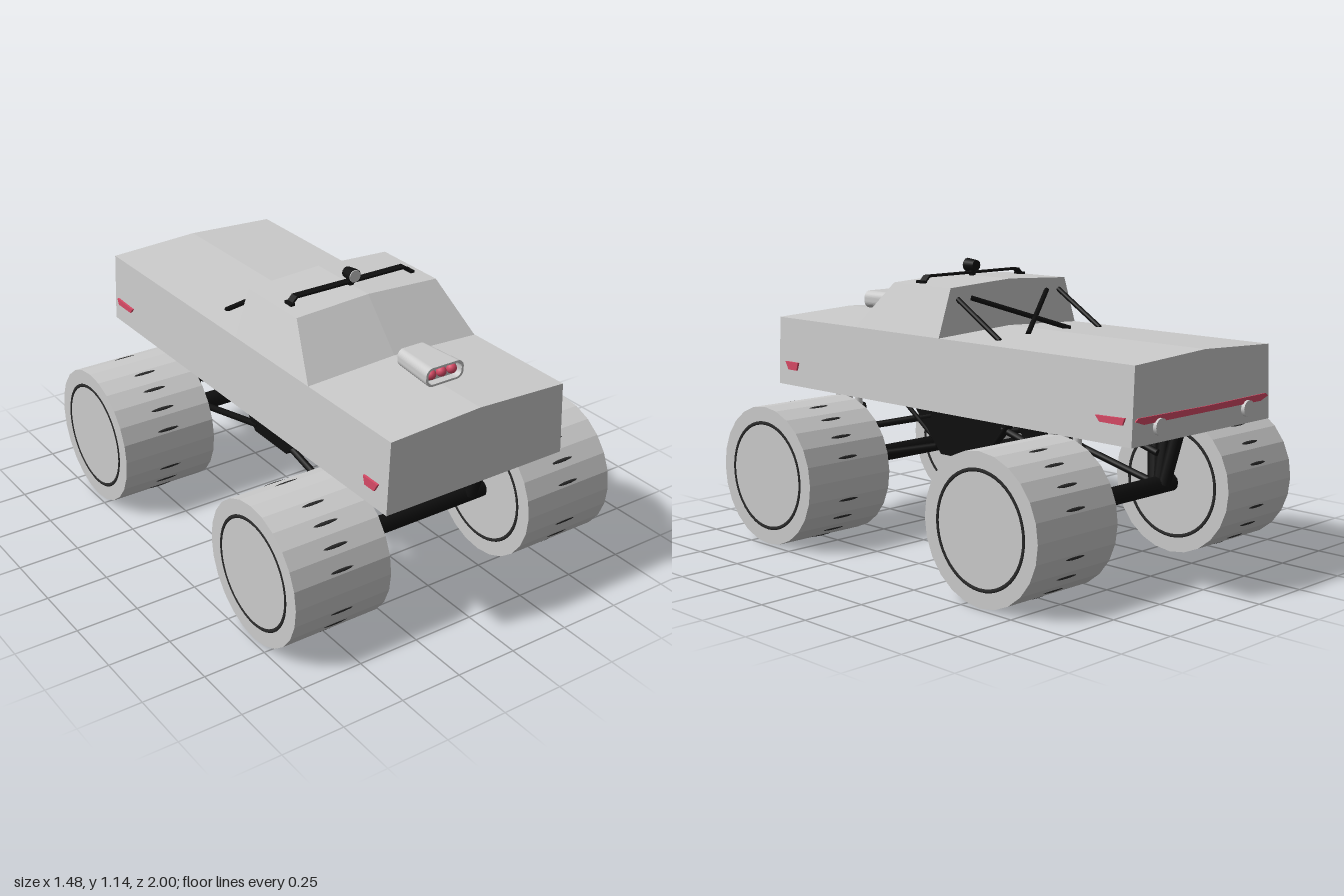
import * as THREE from 'three';

const mat = (name, color) => Object.assign(new THREE.MeshStandardMaterial({ color }), { name });
const V = (x, y, z) => new THREE.Vector3(x, y, z);

export function createModel() {
  const paint = mat('light grey', 0xcccccc);
  const black = mat('black', 0x0e0e0e);
  const dark = mat('dark grey', 0x2c2c2c);
  const red = mat('red', 0xd84a66);
  const model = new THREE.Group();

  const add = (name, geo, m, parent = model) => {
    const mesh = new THREE.Mesh(geo, m);
    mesh.name = name;
    parent.add(mesh);
    return mesh;
  };
  const flat = (geo) => {
    const g = geo.index ? geo.toNonIndexed() : geo;
    g.computeVertexNormals();
    return g;
  };
  // Round bar between two points
  const bar = (name, a, b, r, m = black, r2 = r) => {
    const d = b.clone().sub(a);
    const mesh = add(name, new THREE.CylinderGeometry(r2, r, d.length(), 12), m);
    mesh.position.copy(a).addScaledVector(d, 0.5);
    mesh.quaternion.setFromUnitVectors(V(0, 1, 0), d.normalize());
    return mesh;
  };
  const polygon = (pts) => new THREE.Shape(pts.map((p) => new THREE.Vector2(...p)));

  // Body shell lofted front to back: [z, shoulder x, shoulder y, crown y]
  const stations = [
    [1.0, 0.385, 0.871, 0.889], [0.5, 0.385, 0.871, 0.889],
    [0.33, 0.322, 1.06, 1.076], [0, 0.322, 1.06, 1.076],
    [0, 0.385, 0.871, 0.889], [-0.985, 0.385, 0.871, 0.889],
  ];
  const rings = stations.map(([z, x, y, crown]) => [
    [-0.4, 0.585, z], [-0.387, 0.871, z], [-x, y, z], [0, crown, z],
    [x, y, z], [0.387, 0.871, z], [0.4, 0.585, z],
  ]);
  const tris = [];
  for (let i = 0; i < rings.length - 1; i++) {
    for (let j = 0; j < 7; j++) {
      const k = (j + 1) % 7;
      const [a, b, c, d] = [rings[i][j], rings[i][k], rings[i + 1][k], rings[i + 1][j]];
      tris.push(...a, ...b, ...c, ...a, ...c, ...d);
    }
  }
  const first = rings[0], last = rings[rings.length - 1];
  for (let j = 1; j < 6; j++) {
    tris.push(...first[0], ...first[j + 1], ...first[j], ...last[0], ...last[j], ...last[j + 1]);
  }
  const shell = new THREE.BufferGeometry();
  shell.setAttribute('position', new THREE.Float32BufferAttribute(tris, 3));
  add('body', flat(shell), paint);

  // Wheels with tread slots and a ring on each face
  const tireGeo = flat(new THREE.CylinderGeometry(0.283, 0.283, 0.41, 24).rotateZ(Math.PI / 2));
  const ringGeo = new THREE.TorusGeometry(0.216, 0.007, 4, 48).rotateY(Math.PI / 2).scale(0.5, 1, 1);
  const slotGeo = new THREE.SphereGeometry(1, 10, 6).scale(0.052, 0.004, 0.007);
  const axles = [0.655, -0.58];
  for (const z of axles) {
    for (const s of [-1, 1]) {
      const wheel = new THREE.Group();
      wheel.name = 'wheel';
      wheel.position.set(s * 0.53, 0.283, z);
      model.add(wheel);
      add('tire', tireGeo, paint, wheel);
      for (const f of [-1, 1]) add('wheelRing', ringGeo, dark, wheel).position.x = f * 0.205;
      for (let i = 0; i < 20; i++) {
        if (i % 5 === 0) continue;
        const a = (i * Math.PI) / 10;
        const slot = add('treadSlot', slotGeo, dark, wheel);
        slot.position.set(0, Math.cos(a) * 0.2805, Math.sin(a) * 0.2805);
        slot.rotation.x = a;
      }
    }
    bar('axle', V(-0.335, 0.285, z), V(0.335, 0.285, z), 0.036);
  }

  // Suspension: shock fans, chrome rods, link arms and body struts
  for (const s of [-1, 1]) {
    for (const z of axles) {
      const dir = Math.sign(z);
      for (const k of [-1, 0, 1]) {
        bar('shock', V(s * 0.25, 0.29, z + k * 0.025), V(s * 0.295, 0.53, z + k * 0.063), 0.026, black, 0.028);
        bar('shockRod', V(s * 0.298, 0.5, z + k * 0.063), V(s * 0.298, 0.595, z + k * 0.063), 0.016, paint);
      }
      bar('upperLink', V(s * 0.238, 0.415, z), V(s * 0.238, 0.525, dir * 0.2), 0.014);
      bar('lowerLink', V(s * 0.238, 0.29, z), V(s * 0.238, 0.405, dir > 0 ? 0.17 : -0.08), 0.014);
      bar('bodyStrut', V(s * 0.275, 0.59, dir > 0 ? 0.355 : -0.295), V(s * 0.24, 0.44, dir > 0 ? 0.2 : -0.14), 0.009);
    }
    // Centre frame side plate, drawn in z-y and turned to face sideways
    const plate = new THREE.ExtrudeGeometry(
      polygon([[-0.14, 0.377], [0.09, 0.377], [0.25, 0.545], [-0.29, 0.545]]),
      { depth: 0.026, bevelEnabled: false });
    plate.translate(0, 0, -0.013).rotateY(Math.PI / 2);
    add('framePlate', plate, black).position.x = s * 0.237;
  }
  add('frameFloor', new THREE.BoxGeometry(0.47, 0.01, 0.23), black).position.set(0, 0.381, 0.025);

  // Hood scoop: tapered rounded duct with three red intakes
  const roundRect = (T, w, h, r) => {
    const p = new T();
    p.moveTo(-w + r, -h);
    p.lineTo(w - r, -h).absarc(w - r, -h + r, r, -Math.PI / 2, 0);
    p.lineTo(w, h - r).absarc(w - r, h - r, r, 0, Math.PI / 2);
    p.lineTo(-w + r, h).absarc(-w + r, h - r, r, Math.PI / 2, Math.PI);
    p.lineTo(-w, -h + r).absarc(-w + r, -h + r, r, Math.PI, Math.PI * 1.5);
    return p;
  };
  const duct = roundRect(THREE.Shape, 0.085, 0.037, 0.03);
  duct.holes.push(roundRect(THREE.Path, 0.076, 0.029, 0.024));
  const taper = (geo) => {
    const p = geo.attributes.position;
    for (let i = 0; i < p.count; i++) {
      const t = 1 - p.getZ(i) / 0.195;
      p.setX(i, p.getX(i) * (1 - 0.22 * t));
      p.setY(i, p.getY(i) * (1 - 0.08 * t));
    }
    geo.computeVertexNormals();
    return geo;
  };
  const scoop = new THREE.Group();
  scoop.name = 'hoodScoop';
  scoop.position.set(0, 0.938, 0.605);
  model.add(scoop);
  add('scoopDuct', taper(new THREE.ExtrudeGeometry(duct, { depth: 0.195, bevelEnabled: false, curveSegments: 8 })), paint, scoop);
  const core = new THREE.ExtrudeGeometry(roundRect(THREE.Shape, 0.078, 0.031, 0.025), { depth: 0.165, bevelEnabled: false });
  add('scoopCore', taper(core), paint, scoop);
  for (const x of [-0.047, 0, 0.047]) {
    add('scoopIntake', new THREE.SphereGeometry(0.02, 16, 10), red, scoop).position.set(x, 0, 0.172);
  }
  add('scoopStem', new THREE.BoxGeometry(0.05, 0.04, 0.14), paint).position.set(0, 0.89, 0.7);

  // Roof band and spotlight
  const band = new THREE.ExtrudeGeometry(polygon([
    [-0.285, 1.06], [-0.275, 1.06], [-0.25, 1.084], [0.25, 1.084], [0.275, 1.06],
    [0.285, 1.06], [0.254, 1.092], [-0.254, 1.092],
  ]), { depth: 0.034, bevelEnabled: false });
  add('roofBar', band, black).position.z = 0.196;
  for (const s of [-1, 1]) {
    add('roofBarFoot', new THREE.BoxGeometry(0.018, 0.012, 0.045), black).position.set(s * 0.278, 1.066, 0.217);
  }
  bar('spotlightStem', V(0, 1.07, 0.215), V(0, 1.1, 0.215), 0.014);
  bar('spotlight', V(0, 1.117, 0.19), V(0, 1.117, 0.242), 0.022, black, 0.028);
  bar('spotlightLens', V(0, 1.117, 0.24), V(0, 1.117, 0.246), 0.025, paint);

  // Bars behind the cab: two side stays and a cross
  for (const s of [-1, 1]) {
    bar('cabStay', V(s * 0.285, 1.015, 0), V(s * 0.285, 0.875, -0.23), 0.01);
    bar('cabCross', V(s * 0.215, 1.015, 0), V(-s * 0.12, 0.885, -0.22), 0.01);
  }

  // Side marker lights, outlined in z-y on each flank
  const markers = [
    [[0.95, 0.686], [0.865, 0.686], [0.875, 0.652], [0.93, 0.652]],
    [[-0.82, 0.682], [-0.955, 0.686], [-0.945, 0.66], [-0.84, 0.66]],
  ];
  for (const pts of markers) {
    for (const s of [-1, 1]) {
      const g = new THREE.ExtrudeGeometry(polygon(pts.map(([z, y]) => [-z, y])), { depth: 0.009, bevelEnabled: false });
      g.translate(0, 0, -0.0045).rotateY(Math.PI / 2);
      add('sideMarker', g, red).position.x = s * 0.4;
    }
  }

  // Tail strip and round rear lamps
  const strip = new THREE.ExtrudeGeometry(polygon([
    [-0.385, 0.675], [-0.34, 0.66], [0.34, 0.66], [0.385, 0.675], [0.37, 0.686], [0, 0.682], [-0.37, 0.686],
  ]), { depth: 0.008, bevelEnabled: false });
  add('tailStrip', strip, red).position.z = -0.99;
  for (const s of [-1, 1]) {
    bar('rearLamp', V(s * 0.255, 0.642, -0.98), V(s * 0.255, 0.642, -1.0), 0.032, paint);
  }
  return model;
}
